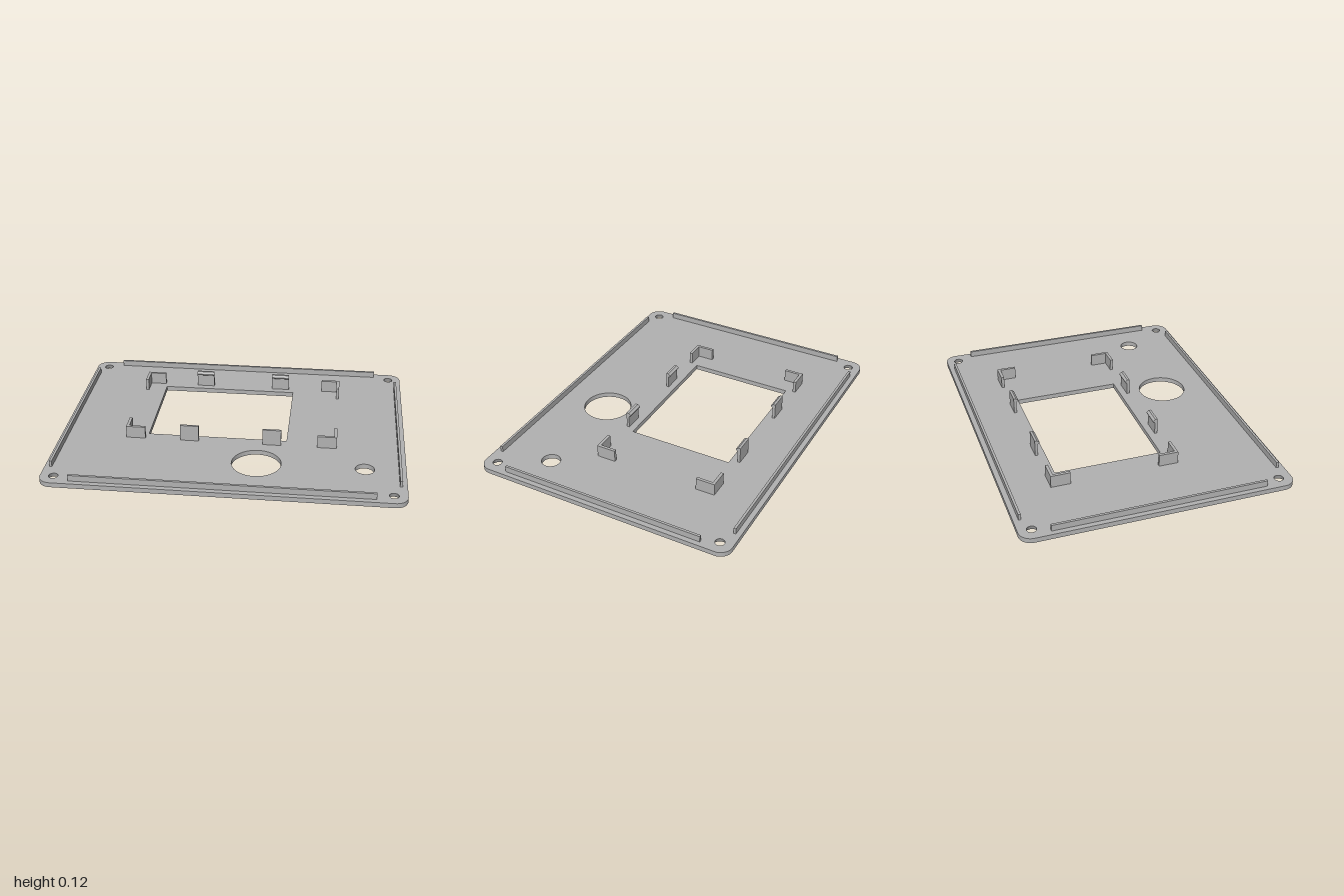
import * as THREE from 'three';
import { toCreasedNormals } from 'three/addons/utils/BufferGeometryUtils.js';

const W = 1, D = 0.768, T = 0.028;      // half width, half depth, plate thickness
const SCREW = { x: 0.925, z: 0.694, r: 0.026 };

export function createModel() {
  const group = new THREE.Group();
  group.name = 'frontPanel';
  const grey = new THREE.MeshStandardMaterial({ color: 0xb2b2b2 });
  grey.name = 'grey plastic';

  const add = (name, geometry, parent = group) => {
    const mesh = new THREE.Mesh(geometry, grey);
    mesh.name = name;
    parent.add(mesh);
    return mesh;
  };

  // Box given by its extents, standing on the plate
  const block = (name, x0, x1, z0, z1, top, parent) => {
    const mesh = add(name, new THREE.BoxGeometry(x1 - x0, top - T, z1 - z0), parent);
    mesh.position.set((x0 + x1) / 2, (top + T) / 2, (z0 + z1) / 2);
  };

  // Plate: rounded outline, drawn with shape y = -z
  const r = 0.07;
  const outline = new THREE.Shape();
  outline.absarc(W - r, D - r, r, 0, Math.PI / 2);
  outline.absarc(-W + r, D - r, r, Math.PI / 2, Math.PI);
  outline.absarc(-W + r, -D + r, r, Math.PI, Math.PI * 1.5);
  outline.absarc(W - r, -D + r, r, Math.PI * 1.5, Math.PI * 2);
  outline.closePath();

  const roundHole = (x, z, radius) => {
    const hole = new THREE.Path();
    hole.absarc(x, -z, radius, 0, Math.PI * 2, true);
    outline.holes.push(hole);
  };
  // Display window, dial hole, button hole
  outline.holes.push(new THREE.Path([[-0.49, -0.174], [-0.49, 0.447], [0.32, 0.447], [0.32, -0.174]]
    .map(([x, y]) => new THREE.Vector2(x, y))));
  roundHole(0.167, 0.439, 0.14);
  roundHole(0.771, 0.439, 0.054);
  for (const sx of [-1, 1]) for (const sz of [-1, 1]) roundHole(sx * SCREW.x, sz * SCREW.z, SCREW.r);

  const plate = new THREE.ExtrudeGeometry(outline, { depth: T, bevelEnabled: false, curveSegments: 20 });
  plate.rotateX(-Math.PI / 2);
  // Countersink the screw holes by widening their lower rims
  const p = plate.attributes.position;
  for (let i = 0; i < p.count; i++) {
    if (p.getY(i) > T / 2) continue;
    const cx = Math.sign(p.getX(i)) * SCREW.x, cz = Math.sign(p.getZ(i)) * SCREW.z;
    const dx = p.getX(i) - cx, dz = p.getZ(i) - cz;
    if (Math.hypot(dx, dz) < SCREW.r * 1.1) {
      p.setX(i, cx + dx * 1.4);
      p.setZ(i, cz + dz * 1.4);
    }
  }
  add('plate', toCreasedNormals(plate, 0.6));

  // Locating ribs along the four edges
  const ribTop = 0.063;
  for (const s of [-1, 1]) {
    const z = s * 0.732, x = s * 0.965;
    block('longRib', -0.833, 0.833, z - 0.007, z + 0.007, ribTop);
    block('sideRib', x - 0.007, x + 0.007, -0.603, 0.603, ribTop);
  }

  // L-shaped corner brackets around the display
  const back = -0.504, front = 0.23, left = -0.614, right = 0.611;
  const wall = 0.017, arm = 0.112, bracketTop = 0.099;
  for (const [x, sx] of [[left, 1], [right, -1]]) {
    for (const [z, sz] of [[back, 1], [front, -1]]) {
      const bracket = new THREE.Group();
      bracket.name = 'cornerBracket';
      group.add(bracket);
      const span = (a, s, from, to) => [a + s * from, a + s * to].sort((m, n) => m - n);
      block('bracketArm', ...span(x, sx, 0, arm), ...span(z, sz, 0, wall), bracketTop, bracket);
      block('bracketLeg', ...span(x, sx, 0, wall), ...span(z, sz, wall, arm), bracketTop, bracket);
    }
  }

  // Snap clips with a hooked lip facing the window
  const profile = new THREE.Shape([[0, T], [0.016, T], [0.016, 0.1], [0.028, 0.108], [0.028, 0.113],
    [0.014, 0.124], [0, 0.124]].map(([x, y]) => new THREE.Vector2(x, y)));
  const clipWidth = 0.108;
  const clip = new THREE.ExtrudeGeometry(profile, { depth: clipWidth, bevelEnabled: false });
  clip.translate(0, 0, -clipWidth / 2);
  for (const x of [-0.242, 0.237]) {
    for (const [z, turn] of [[back, -1], [front, 1]]) {
      const mesh = add('snapClip', clip);
      mesh.rotation.y = turn * Math.PI / 2;
      mesh.position.set(x, 0, z);
    }
  }
  return group;
}
